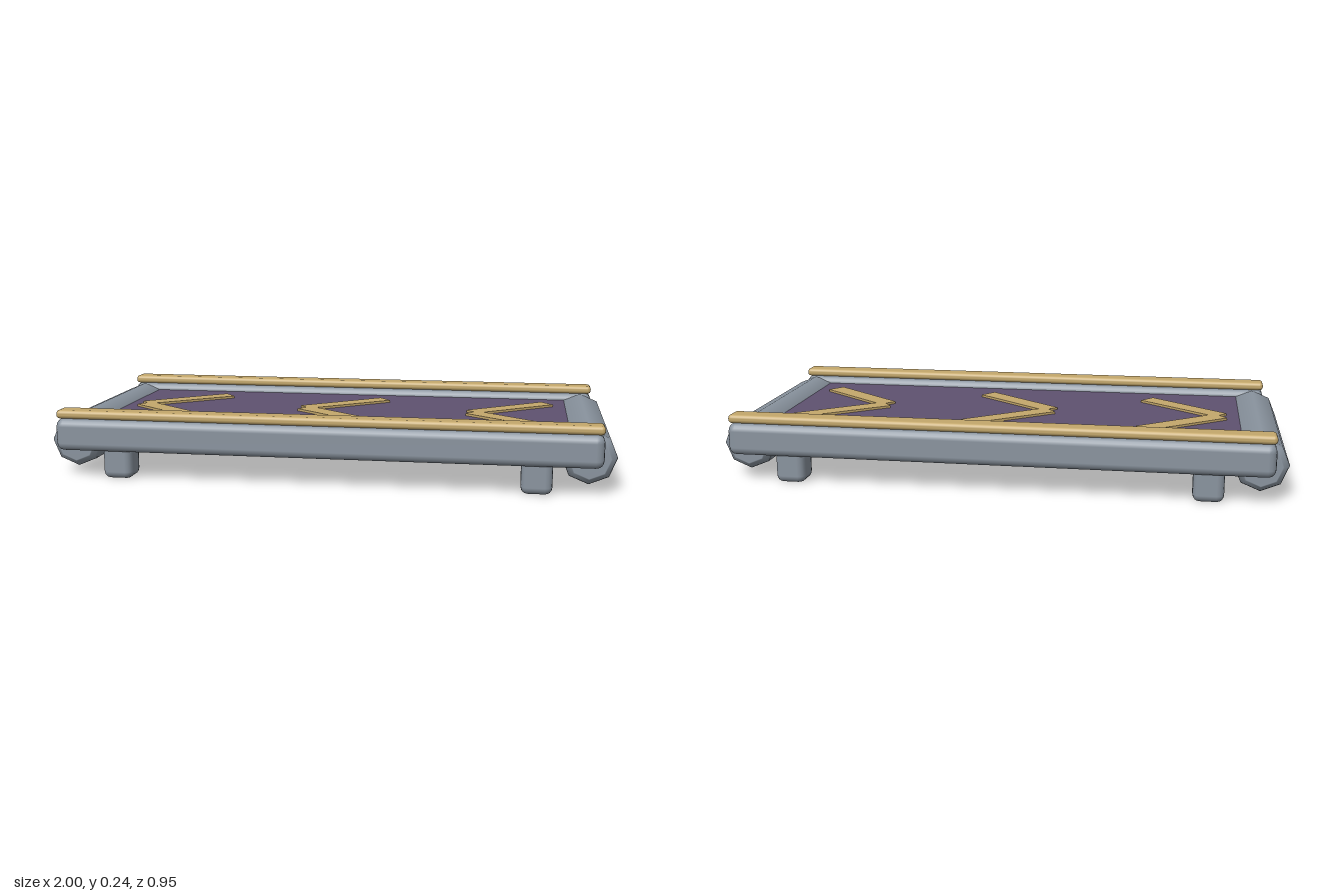
import * as THREE from 'three';
import { RoundedBoxGeometry } from 'three/addons/geometries/RoundedBoxGeometry.js';

function material(name, color) {
  const m = new THREE.MeshStandardMaterial({ color });
  m.name = name;
  return m;
}

export function createModel() {
  const steel = material('steel grey', 0x8a949f);
  const purple = material('belt purple', 0x5f5270);
  const gold = material('muted gold', 0xc4a86c);
  const model = new THREE.Group();
  model.name = 'conveyor';

  const add = (name, geometry, mat, x, y, z) => {
    const mesh = new THREE.Mesh(geometry, mat);
    mesh.name = name;
    mesh.position.set(x, y, z);
    model.add(mesh);
    return mesh;
  };

  // Belt slab running between the rollers
  add('belt', new THREE.BoxGeometry(1.76, 0.06, 0.76), purple, 0, 0.16, 0);

  // Eight-sided end rollers with bevelled ends
  const profile = [
    [0, -0.396], [0.07, -0.396], [0.074, -0.395], [0.09, -0.38], [0.094, -0.37],
    [0.094, 0.37], [0.09, 0.38], [0.074, 0.395], [0.07, 0.396], [0, 0.396],
  ].map(([r, h]) => new THREE.Vector2(r, h));
  const rollerGeometry = new THREE.LatheGeometry(profile, 8).rotateX(Math.PI / 2);

  // Side rails, gold caps and feet, mirrored front to back
  const railGeometry = new RoundedBoxGeometry(1.9, 0.115, 0.11, 2, 0.028);
  const capGeometry = new RoundedBoxGeometry(1.9, 0.031, 0.077, 2, 0.013);
  const footGeometry = new RoundedBoxGeometry(0.106, 0.13, 0.106, 2, 0.025);

  for (const side of [-1, 1]) {
    add('roller', rollerGeometry, steel, side * 0.906, 0.122, 0);
    add('sideRail', railGeometry, steel, 0, 0.158, side * 0.421);
    add('railCap', capGeometry, gold, 0, 0.229, side * 0.422);
    for (const end of [-1, 1]) {
      add('foot', footGeometry, steel, end * 0.732, 0.067, side * 0.402);
    }
  }

  // Direction chevrons lying on the belt, pointing to -x
  const armGeometry = new THREE.BoxGeometry(0.36, 0.009, 0.07);
  for (let i = -1; i <= 1; i++) {
    for (const side of [-1, 1]) {
      const arm = add('chevronArm', armGeometry, gold, i * 0.635 - 0.001, 0.194, side * 0.121);
      arm.rotation.y = -side * 0.675;
    }
  }

  return model;
}
